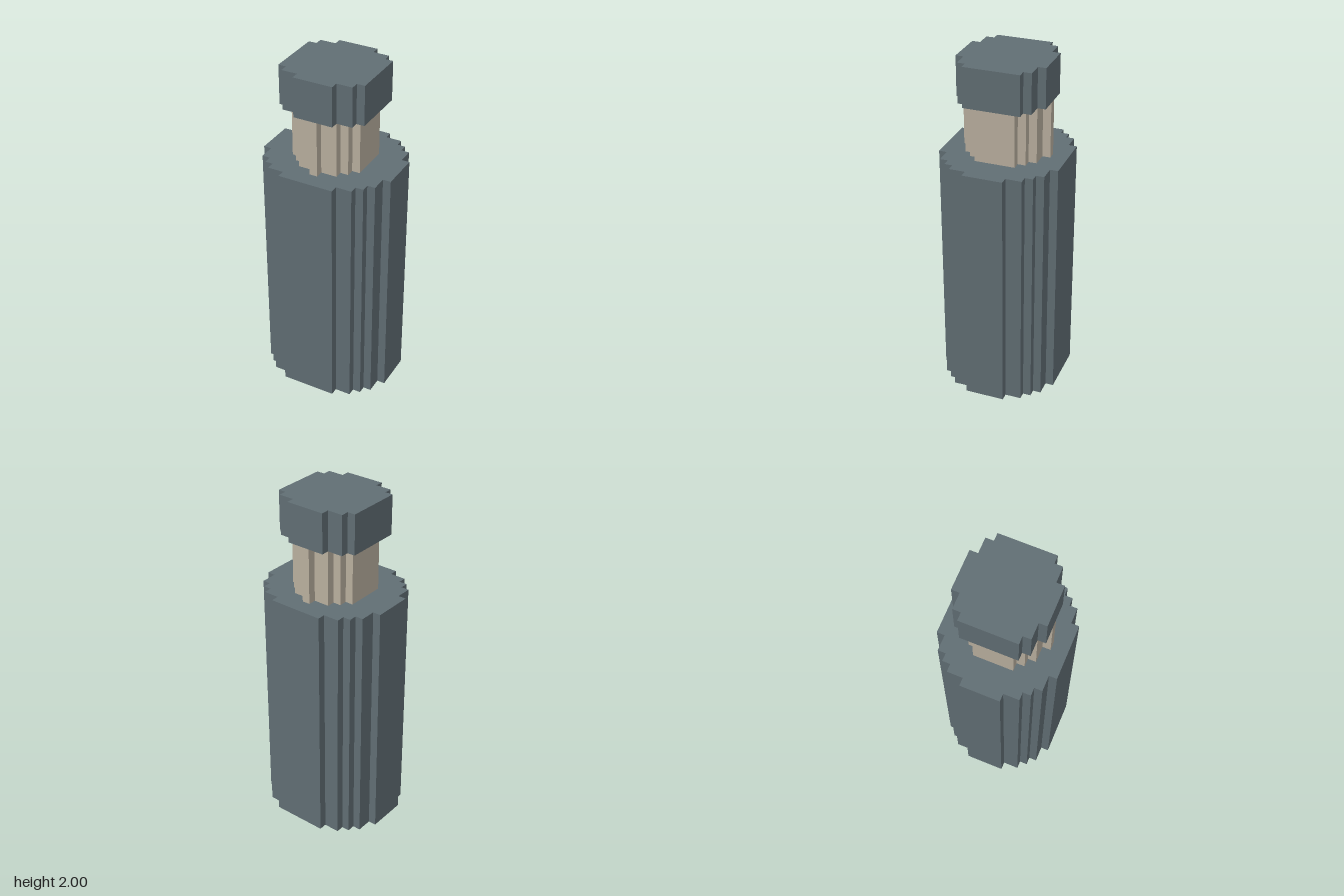
import * as THREE from 'three';

// One grid step; the bottle is 43 steps tall
const U = 2 / 43;

// Upright prism with a stepped outline, mirrored into all four quadrants.
// steps: [halfWidthX, halfDepthZ] of each step, widest in x first, in grid steps.
function steppedPrism(name, steps, bottom, top, material) {
  const quarter = [];
  let z = 0;
  for (const [hx, hz] of steps) {
    if (z > 0) quarter.push([hx, z]);
    quarter.push([hx, hz]);
    z = hz;
  }
  const back = [...quarter].reverse();
  const outline = [
    ...quarter,
    ...back.map(([x, y]) => [-x, y]),
    ...quarter.map(([x, y]) => [-x, -y]),
    ...back.map(([x, y]) => [x, -y]),
  ];
  const shape = new THREE.Shape(outline.map(([x, y]) => new THREE.Vector2(x * U, y * U)));
  const geometry = new THREE.ExtrudeGeometry(shape, { depth: (top - bottom) * U, bevelEnabled: false });
  geometry.rotateX(-Math.PI / 2);
  geometry.translate(0, bottom * U, 0);
  const mesh = new THREE.Mesh(geometry, material);
  mesh.name = name;
  return mesh;
}

export function createModel() {
  const slate = new THREE.MeshStandardMaterial({ color: 0x616e74 });
  slate.name = 'slate';
  const beige = new THREE.MeshStandardMaterial({ color: 0xbab09f });
  beige.name = 'beige';

  const bottle = new THREE.Group();
  bottle.name = 'bottle';
  bottle.add(
    // Wide body
    steppedPrism('body', [[8.5, 2.5], [7.5, 4.5], [6.5, 5.5], [5.5, 6.5], [3.5, 7.5]], 0, 31, slate),
    // Narrow neck
    steppedPrism('neck', [[4.5, 2.5], [3.5, 3.5], [2.5, 4.5], [0.5, 5.5]], 31, 38, beige),
    // Overhanging cap
    steppedPrism('cap', [[5.5, 3.5], [4.5, 4.5], [2.5, 5.5]], 38, 43, slate),
  );
  return bottle;
}
